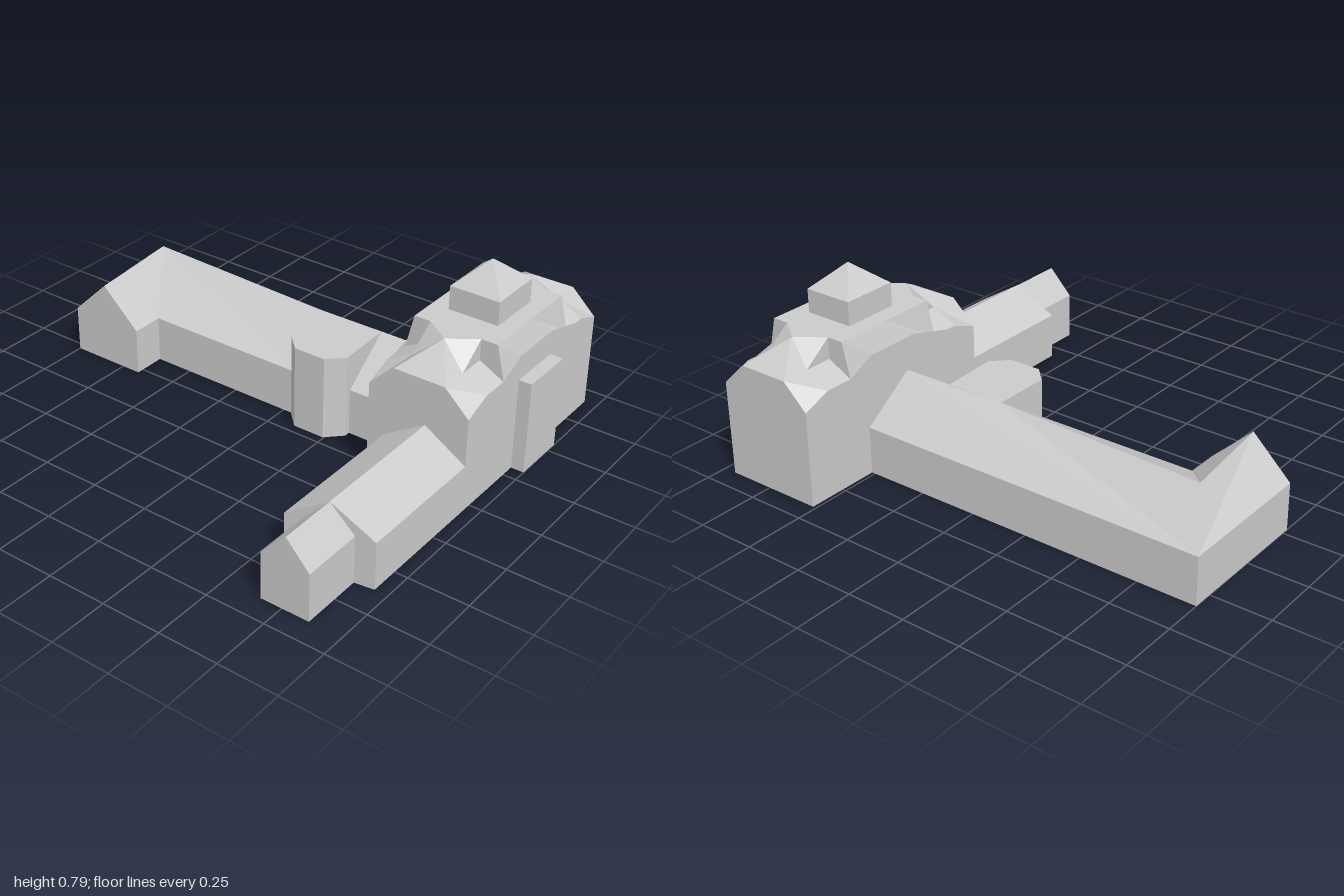
import * as THREE from 'three';

const grey = () => new THREE.MeshStandardMaterial({ color: 0xcccccc, flatShading: true });

function mesh(name, geometry) {
  const m = new THREE.Mesh(geometry, grey());
  m.name = name;
  return m;
}

// Flat polygons, corners counter-clockwise from outside, split into fans
function faces(polys) {
  const pos = [];
  for (const p of polys) {
    for (let i = 1; i < p.length - 1; i++) pos.push(...p[0], ...p[i], ...p[i + 1]);
  }
  const g = new THREE.BufferGeometry();
  g.setAttribute('position', new THREE.Float32BufferAttribute(pos, 3));
  g.computeVertexNormals();
  return g;
}

// Upright prism over a plan outline of [x, z] points
function prism(plan, height) {
  const shape = new THREE.Shape(plan.map(([x, z]) => new THREE.Vector2(x, -z)));
  return new THREE.ExtrudeGeometry(shape, { depth: height, bevelEnabled: false }).rotateX(-Math.PI / 2);
}

function box(name, x0, x1, y0, y1, z0, z1) {
  const g = new THREE.BoxGeometry(x1 - x0, y1 - y0, z1 - z0);
  return mesh(name, g.translate((x0 + x1) / 2, (y0 + y1) / 2, (z0 + z1) / 2));
}

// Gabled house along z; the front end may be skewed (zl, zm, zr)
function house(name, x0, xm, x1, eave, ridge, [zl, zm, zr], zb) {
  const section = [[x0, 0, zl], [x1, 0, zr], [x1, eave, zr], [xm, ridge, zm], [x0, eave, zl]];
  const back = section.map(([x, y]) => [x, y, zb]);
  const polys = [section, [...back].reverse()];
  for (let i = 0; i < 5; i++) {
    const j = (i + 1) % 5;
    polys.push([section[i], back[i], back[j], section[j]]);
  }
  return mesh(name, faces(polys));
}

const CX = 0.73, CZ = -0.43;

// One quarter of the tall block, mirrored to all four corners
function mainBlock() {
  const P1 = [0.945, 0.4, 0.05], P2 = [0.945, 0.445, -0.07], P3 = [0.945, 0.445, -0.19];
  const F = [0.84, 0.5, 0.05], Q = [0.84, 0.5, -0.07], S = [0.84, 0.5, -0.19];
  const R = [0.84, 0.59, -0.19], A = [CX, 0.59, -0.11], T = [CX, 0.59, -0.19];
  const C = [CX, 0.5, 0.05], M = [0.91, 0.59, -0.19], M2 = [0.91, 0.59, CZ];
  const E = [0.945, 0.5, -0.31], E2 = [0.945, 0.5, CZ];
  const b0 = [CX, 0, 0.05], b1 = [0.945, 0, 0.05], b2 = [0.945, 0, CZ], b3 = [CX, 0, CZ];
  const quarter = [
    [b0, b1, P1, F, C],            // end wall
    [b1, b2, E2, E, P3, P2, P1],   // side wall
    [F, P1, P2, Q], [Q, P2, P3, S], // low roof slopes
    [C, F, A], [F, Q, A],          // clipped gable
    [Q, S, R], [Q, R, A], [A, R, T], // notch behind the gable
    [S, P3, M, R],                 // step up to the middle
    [M, P3, E, E2, M2],            // steep roof side
    [T, R, M, M2, [CX, 0.59, CZ]], // flat roof
    [b0, b3, b2, b1],              // underside
  ];
  const all = [];
  for (const sx of [1, -1]) {
    for (const sz of [1, -1]) {
      for (const poly of quarter) {
        const p = poly.map(([x, y, z]) => [CX + sx * (x - CX), y, CZ + sz * (z - CZ)]);
        all.push(sx * sz < 0 ? p.reverse() : p);
      }
    }
  }
  return mesh('mainBlock', faces(all));
}

// Long side wing with a short gabled return at its far end
function longWing() {
  const g = new THREE.Group();
  g.name = 'longWing';
  g.add(mesh('longWingWalls', prism([
    [-1, -0.585], [-1, 0.03], [-0.665, 0.03], [-0.665, -0.11], [0.1, -0.11],
    [0.1, -0.13], [0.515, -0.13], [0.515, -0.585],
  ], 0.2)));
  const a = [-1, 0.2, -0.585], b = [0.515, 0.2, -0.585], r0 = [-0.88, 0.36, -0.4];
  const k = [0.045, 0.36, -0.35], r1 = [0.515, 0.36, -0.355];
  const w = [-1, 0.2, 0.03], e = [-0.665, 0.2, 0.03], top = [-0.835, 0.36, 0.03];
  const v = [-0.665, 0.2, -0.11];
  g.add(mesh('longWingRoof', faces([
    [a, r0, k, r1, b],             // back slope
    [a, w, top, r0],               // outer slope of the return
    [w, e, top],                   // gable
    [top, e, v, r0],               // inner slope of the return
    [r0, v, [0.045, 0.2, -0.11], k], // front slope
    [[0.3, 0.36, -0.355], [0.3, 0.2, -0.13], [0.515, 0.2, -0.13], r1],
  ])));
  return g;
}

export function createModel() {
  const model = new THREE.Group();
  model.name = 'building';

  model.add(mainBlock());
  model.add(box('sideProjection', 0.93, 1, 0, 0.395, -0.55, -0.31));

  // Roof turret
  model.add(box('turret', 0.625, 0.84, 0.58, 0.69, -0.55, -0.31));
  const cap = new THREE.ConeGeometry(Math.SQRT1_2, 1, 4, 1).rotateY(Math.PI / 4);
  cap.scale(0.215, 0.1, 0.24).translate(0.7325, 0.74, CZ);
  model.add(mesh('turretRoof', cap));

  // Front wing and its porch
  model.add(house('frontWing', 0.59, 0.765, 0.945, 0.2, 0.31, [0.675, 0.65, 0.625], 0.04));
  model.add(house('porch', 0.66, 0.765, 0.865, 0.2, 0.309, [0.9, 0.9, 0.9], 0.6));

  model.add(longWing());
  // Flat-topped bay with cut corners
  model.add(mesh('bay', prism([
    [0.045, -0.35], [0.04, -0.105], [0.105, -0.04], [0.245, -0.04], [0.31, -0.105], [0.3, -0.355],
  ], 0.36)));

  return model;
}
